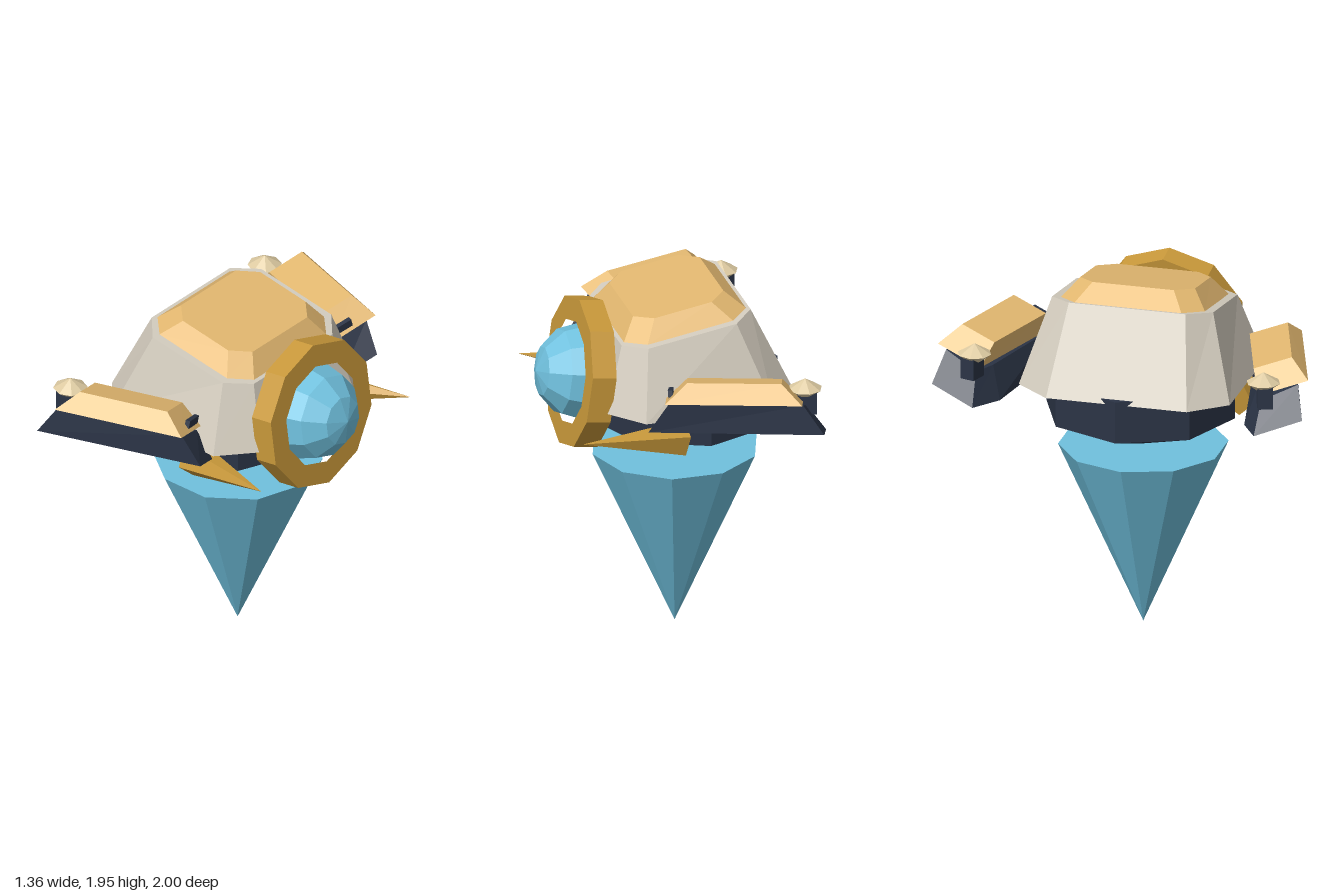
import * as THREE from 'three';

const mat = (name, color) => {
  const m = new THREE.MeshStandardMaterial({ color, flatShading: true });
  m.name = name;
  return m;
};

// Flat-faced solid between two loops, listed counterclockwise from above
function loft(lower, upper) {
  const n = lower.length, pos = [];
  const tri = (...pts) => pts.forEach((p) => pos.push(...p));
  for (let i = 0; i < n; i++) {
    const j = (i + 1) % n;
    tri(lower[i], lower[j], upper[j]);
    tri(lower[i], upper[j], upper[i]);
    if (i > 0 && i < n - 1) {
      tri(upper[0], upper[i], upper[i + 1]);
      tri(lower[0], lower[i + 1], lower[i]);
    }
  }
  const g = new THREE.BufferGeometry();
  g.setAttribute('position', new THREE.Float32BufferAttribute(pos, 3));
  g.computeVertexNormals();
  return g;
}

// Rectangle with cut corners, height sloping from back (x0) to front (x1)
function cutRect(x0, x1, z, cx, cz, y0, y1) {
  const w = z - cz;
  return [[x1, w], [x1, -w], [x1 - cx, -z], [x0 + cx, -z], [x0, -w], [x0, w], [x0 + cx, z], [x1 - cx, z]]
    .map(([x, zz]) => [x, y0 + ((y1 - y0) * (x - x0)) / (x1 - x0), zz]);
}

function decagon(path, r) {
  const pts = [];
  for (let i = 0; i < 10; i++) {
    const a = (i * Math.PI) / 5;
    pts.push(new THREE.Vector2(r * Math.sin(a), r * Math.cos(a)));
  }
  return path.setFromPoints(pts);
}

export function createModel() {
  const sand = mat('sand gold', 0xe3b870);
  const gold = mat('deep gold', 0xc8983a);
  const stone = mat('warm grey', 0xd3ccbe);
  const navy = mat('dark navy', 0x2b3446);
  const teal = mat('sky teal', 0x70c1de);
  const bone = mat('bone', 0xdecba2);

  const root = new THREE.Group();
  const add = (parent, name, geo, material, x = 0, y = 0, z = 0) => {
    const m = new THREE.Mesh(geo, material);
    m.name = name;
    m.position.set(x, y, z);
    parent.add(m);
    return m;
  };

  // Hovering cone beneath the body
  add(root, 'lowerCone', new THREE.ConeGeometry(0.445, 1, 10).rotateX(Math.PI).rotateY(Math.PI / 2), teal, -0.08, 0.5, 0);

  // Dark belly: octagonal drum with a shallow point
  add(root, 'bellyDrum', new THREE.CylinderGeometry(0.51, 0.51, 0.23, 8), navy, -0.13, 1.32, 0);
  add(root, 'bellyPoint', new THREE.ConeGeometry(0.51, 0.195, 8).rotateX(Math.PI), navy, -0.13, 1.1075, 0);

  // Sloped shell and its cap
  add(root, 'shell', loft(
    cutRect(-0.615, 0.4, 0.57, 0.16, 0.19, 1.41, 1.4),
    cutRect(-0.4, 0.3, 0.435, 0.11, 0.12, 1.87, 1.75)), stone);
  add(root, 'shellCap', loft(
    cutRect(-0.385, 0.28, 0.39, 0.1, 0.1, 1.865, 1.755),
    cutRect(-0.28, 0.21, 0.31, 0.09, 0.09, 1.95, 1.865)), sand);

  // Eye and ring, leaning back
  const eye = new THREE.Group();
  eye.name = 'eye';
  eye.position.set(0.428, 1.482, 0);
  eye.rotation.z = 0.137;
  root.add(eye);
  const ringShape = decagon(new THREE.Shape(), 0.404);
  ringShape.holes.push(decagon(new THREE.Path(), 0.28));
  const ringGeo = new THREE.ExtrudeGeometry(ringShape, { depth: 0.13, bevelEnabled: false });
  add(eye, 'eyeRing', ringGeo.translate(0, 0, -0.065).rotateY(Math.PI / 2), gold);
  add(eye, 'eyeBall', new THREE.SphereGeometry(0.262, 10, 6).rotateZ(-Math.PI / 2), teal, -0.012, 0, 0);

  for (const s of [1, -1]) {
    const side = s > 0 ? 'front' : 'back';
    const wing = new THREE.Group();
    wing.name = side + 'Wing';
    root.add(wing);
    // Mirroring in z also reverses the loop order
    const flip = (pts) => (s > 0 ? pts : pts.map(([x, y, z]) => [x, y, -z]).reverse());

    // Dark wing body with overlapping gold plate
    add(wing, side + 'WingBody', loft(
      flip([[0.27, 1.42, 0.71], [0.19, 1.34, 0.52], [-0.5, 1.325, 0.66], [-0.68, 1.34, 0.76], [-0.6, 1.42, 1.0]]),
      flip([[0.17, 1.58, 0.74], [0.11, 1.5, 0.55], [-0.45, 1.5, 0.71], [-0.57, 1.5, 0.77], [-0.5, 1.58, 0.95]])), navy);
    add(wing, side + 'WingPlate', loft(
      flip([[0.2, 1.6, 0.78], [0.12, 1.52, 0.53], [-0.56, 1.52, 0.75], [-0.48, 1.6, 1.0]]),
      flip([[0.07, 1.69, 0.74], [0.01, 1.63, 0.55], [-0.46, 1.63, 0.7], [-0.4, 1.69, 0.89]])), sand);

    // Small dark fins and the faceted stud
    const fin = add(wing, side + 'WingFin', new THREE.BoxGeometry(0.025, 0.06, 0.13), navy, 0.115, 1.57, s * 0.6);
    fin.rotation.set(-s * 0.3, s * 0.31, 0);
    const mount = add(wing, side + 'StudMount', new THREE.BoxGeometry(0.1, 0.12, 0.08), navy, -0.57, 1.53, s * 0.79);
    mount.rotation.y = s * 0.31;
    add(wing, side + 'StudTop', new THREE.ConeGeometry(0.09, 0.055, 8, 1, true), bone, -0.56, 1.6275, s * 0.78);
    add(wing, side + 'StudBase', new THREE.ConeGeometry(0.09, 0.07, 8, 1, true).rotateX(Math.PI), bone, -0.56, 1.565, s * 0.78);

    // Forward spike
    const base = new THREE.Vector3(0.02, 1.255, s * 0.475);
    const tip = new THREE.Vector3(0.595, 1.345, s * 0.6);
    const dir = tip.clone().sub(base);
    const mid = base.clone().add(tip).multiplyScalar(0.5);
    const spike = add(root, side + 'Spike', new THREE.ConeGeometry(0.098, dir.length(), 5), gold, mid.x, mid.y, mid.z);
    spike.quaternion.setFromUnitVectors(new THREE.Vector3(0, 1, 0), dir.normalize());
  }
  return root;
}
